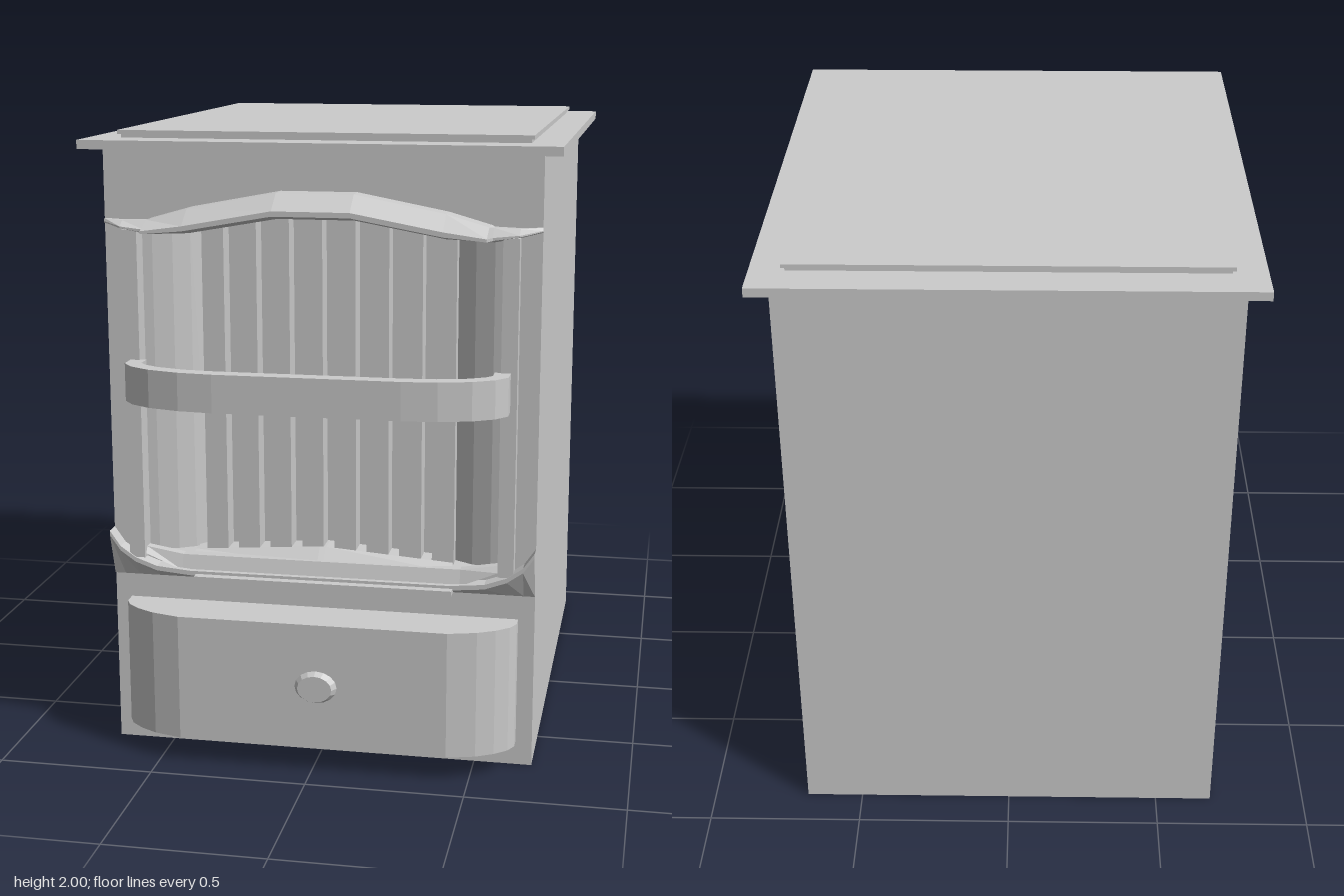
import * as THREE from 'three';

const material = new THREE.MeshStandardMaterial({ color: 0xcccccc, flatShading: true });

function add(group, name, geometry) {
  const mesh = new THREE.Mesh(geometry, material);
  mesh.name = name;
  group.add(mesh);
  return mesh;
}

// Box given by its minimum and maximum along each axis
function box(x0, x1, y0, y1, z0, z1) {
  return new THREE.BoxGeometry(x1 - x0, y1 - y0, z1 - z0)
    .translate((x0 + x1) / 2, (y0 + y1) / 2, (z0 + z1) / 2);
}

const toPoints = (list) => list.map(([x, y]) => new THREE.Vector2(x, y));

// Completes a symmetric outline from its +x half
const mirror = (half) => [...half, ...half.map(([x, y]) => [-x, y]).reverse()];

// Plan outline of [x, z] points raised from y0 to y1
function planExtrude(outline, y0, y1) {
  const shape = new THREE.Shape(toPoints(outline.map(([x, z]) => [x, -z])));
  return new THREE.ExtrudeGeometry(shape, { depth: y1 - y0, bevelEnabled: false })
    .rotateX(-Math.PI / 2).translate(0, y0, 0);
}

// Skin over convex [z, y] sections, ordered from left (-x) to right (+x)
function loft(stations) {
  const pos = [];
  const put = (s, i) => {
    const sec = stations[s].section, p = sec[i % sec.length];
    pos.push(stations[s].x, p[1], p[0]);
  };
  const n = stations[0].section.length, last = stations.length - 1;
  for (let s = 0; s < last; s++) {
    for (let i = 0; i < n; i++) {
      put(s, i); put(s, i + 1); put(s + 1, i + 1);
      put(s, i); put(s + 1, i + 1); put(s + 1, i);
    }
  }
  for (let i = 1; i < n - 1; i++) {
    put(0, 0); put(0, i + 1); put(0, i);
    put(last, 0); put(last, i); put(last, i + 1);
  }
  const g = new THREE.BufferGeometry();
  g.setAttribute('position', new THREE.Float32BufferAttribute(pos, 3));
  g.computeVertexNormals();
  return g;
}

// Mirrors rows of [x, ...values] and turns each into a loft station
function symmetricLoft(rows, section) {
  const all = [...rows.map(([x, ...v]) => [-x, ...v]), ...rows.slice().reverse()];
  return loft(all.map(([x, ...v]) => ({ x, section: section(...v) })));
}

export function createModel() {
  const model = new THREE.Group();
  model.name = 'stove';

  // Cabinet, with a front wall cut out for the fire opening
  add(model, 'cabinet', box(-0.685, 0.685, 0, 1.95, -0.88, 0.63));
  const wall = new THREE.Shape(toPoints([[-0.685, 0], [0.685, 0], [0.685, 1.95], [-0.685, 1.95]]));
  wall.holes.push(new THREE.Path(toPoints(mirror(
    [[0.57, 0.65], [0.57, 1.69], [0.38, 1.7], [0.12, 1.75]]))));
  add(model, 'frontWall', new THREE.ExtrudeGeometry(wall, { depth: 0.1, bevelEnabled: false })
    .translate(0, 0, 0.63));

  // Top plates
  add(model, 'topPlate', box(-0.745, 0.745, 1.948, 1.976, -0.955, 0.8));
  add(model, 'hotplateRim', box(-0.64, 0.64, 1.976, 1.988, -0.84, 0.68));
  add(model, 'hotplate', box(-0.65, 0.65, 1.988, 2, -0.85, 0.69));

  // Curved cheeks of the recess and raised strips beside it
  for (const s of [-1, 1]) {
    const cheek = [[0.575, 0.62], [0.575, 0.715], [0.54, 0.71], [0.48, 0.69], [0.43, 0.66], [0.39, 0.62]];
    const side = s > 0 ? 'left' : 'right';
    add(model, side + 'Cheek', planExtrude(cheek.map(([x, z]) => [s * x, z]), 0.64, 1.71));
    const a = s * 0.57, b = s * 0.62;
    add(model, side + 'DoorStrip', box(Math.min(a, b), Math.max(a, b), 0.64, 1.7, 0.7, 0.777));
  }

  // Grate of upright bars
  const grate = new THREE.Group();
  grate.name = 'grate';
  model.add(grate);
  for (let i = 0; i < 8; i++) {
    const x = 0.02 + (i - 3.5) * 0.105;
    const top = 1.75 - Math.max(0, Math.abs(x) - 0.12) * 0.19;
    add(grate, 'grateBar', box(x - 0.035, x + 0.035, 0.64, top, 0.62, 0.7));
  }
  add(model, 'grateLedge', symmetricLoft([[0.42, 0.655], [0.01, 0.685]],
    (y) => [[0.63, y], [0.7, y], [0.75, 0.64], [0.75, 0.62], [0.63, 0.62]]));

  // Arched hood: x, top, bottom, front
  add(model, 'hood', symmetricLoft([
    [0.685, 1.73, 1.715, 0.74], [0.62, 1.727, 1.7, 0.785], [0.54, 1.73, 1.685, 0.79],
    [0.53, 1.735, 1.69, 0.865], [0.4, 1.772, 1.695, 0.865], [0.12, 1.825, 1.745, 0.865],
  ], (top, bottom, front) => {
    const h = top - bottom, d = front - 0.73;
    return [[0.72, top], [0.73 + d * 0.5, top], [front, top - h * 0.6],
      [front, top - h * 0.8], [0.73 + d * 0.4, bottom], [0.72, bottom]];
  }));

  // Sill trim that sweeps up at both ends: x, top, front
  add(model, 'sill', symmetricLoft([
    [0.685, 0.725, 0.782], [0.65, 0.675, 0.782], [0.6, 0.64, 0.782],
    [0.53, 0.615, 0.782], [0.42, 0.605, 0.782],
  ], (top, front) => [[0.72, top], [front, top], [front, top - 0.015], [0.737, 0.57], [0.72, 0.57]]));
  add(model, 'sillBand', symmetricLoft([[0.62, 0.685, 0.69], [0.57, 0.65, 0.67], [0.45, 0.6, 0.65]],
    (low, top) => [[0.72, top], [0.75, top], [0.765, low], [0.72, low]]));
  add(model, 'sillTab', box(-0.4, 0.43, 0.58, 0.596, 0.73, 0.81));

  // Bowed rail across the opening
  const outer = [[0.6, 0.77], [0.6, 0.835], [0.565, 0.88], [0.5, 0.918], [0.4, 0.945], [0.29, 0.955]];
  const inner = [[0.29, 0.905], [0.39, 0.897], [0.48, 0.873], [0.53, 0.845], [0.55, 0.82], [0.55, 0.77]];
  const rail = [...mirror(outer), ...inner.slice().reverse().map(([x, z]) => [-x, z]), ...inner];
  // Keep the inner edge running from -x back to +x
  rail.splice(12, 12, ...inner.slice().reverse().map(([x, z]) => [-x, z]), ...inner);
  add(model, 'rail', planExtrude(rail, 1.17, 1.29));

  // Ash drawer with a bowed front and an oval knob
  add(model, 'ashDrawer', planExtrude(mirror([[0.633, 0.72], [0.633, 0.775], [0.615, 0.81],
    [0.575, 0.845], [0.52, 0.875], [0.43, 0.9]]), 0.08, 0.49));
  const knob = add(model, 'drawerKnob', new THREE.CylinderGeometry(0.055, 0.07, 0.025, 16)
    .rotateX(Math.PI / 2));
  knob.scale.y = 0.78;
  knob.position.set(0.015, 0.285, 0.909);

  return model;
}
